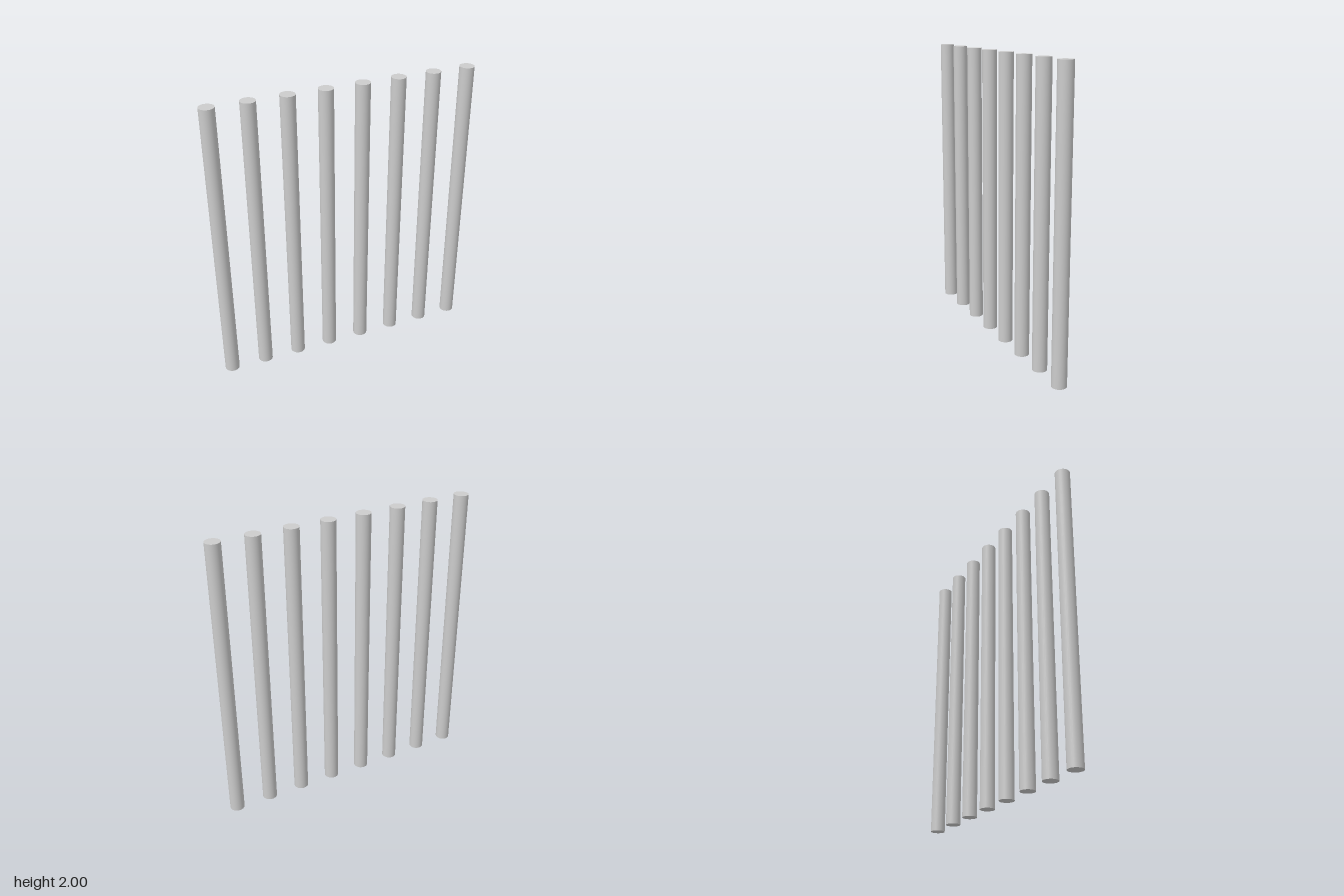
import * as THREE from 'three';

const COUNT = 8;
const SPACING = 0.25;
const RADIUS = 0.05;
const HEIGHT = 2;

export function createModel() {
  const model = new THREE.Group();
  model.name = 'barRow';
  const material = new THREE.MeshStandardMaterial({ color: 0xcccccc });

  // One smooth, capped round bar, standing on the ground
  const geometry = new THREE.CylinderGeometry(RADIUS, RADIUS, HEIGHT, 32);
  geometry.translate(0, HEIGHT / 2, 0);

  // Evenly spaced row of bars, centred on x = 0
  for (let i = 0; i < COUNT; i++) {
    const bar = new THREE.Mesh(geometry, material);
    bar.name = `bar${i + 1}`;
    bar.position.x = (i - (COUNT - 1) / 2) * SPACING;
    model.add(bar);
  }
  return model;
}
